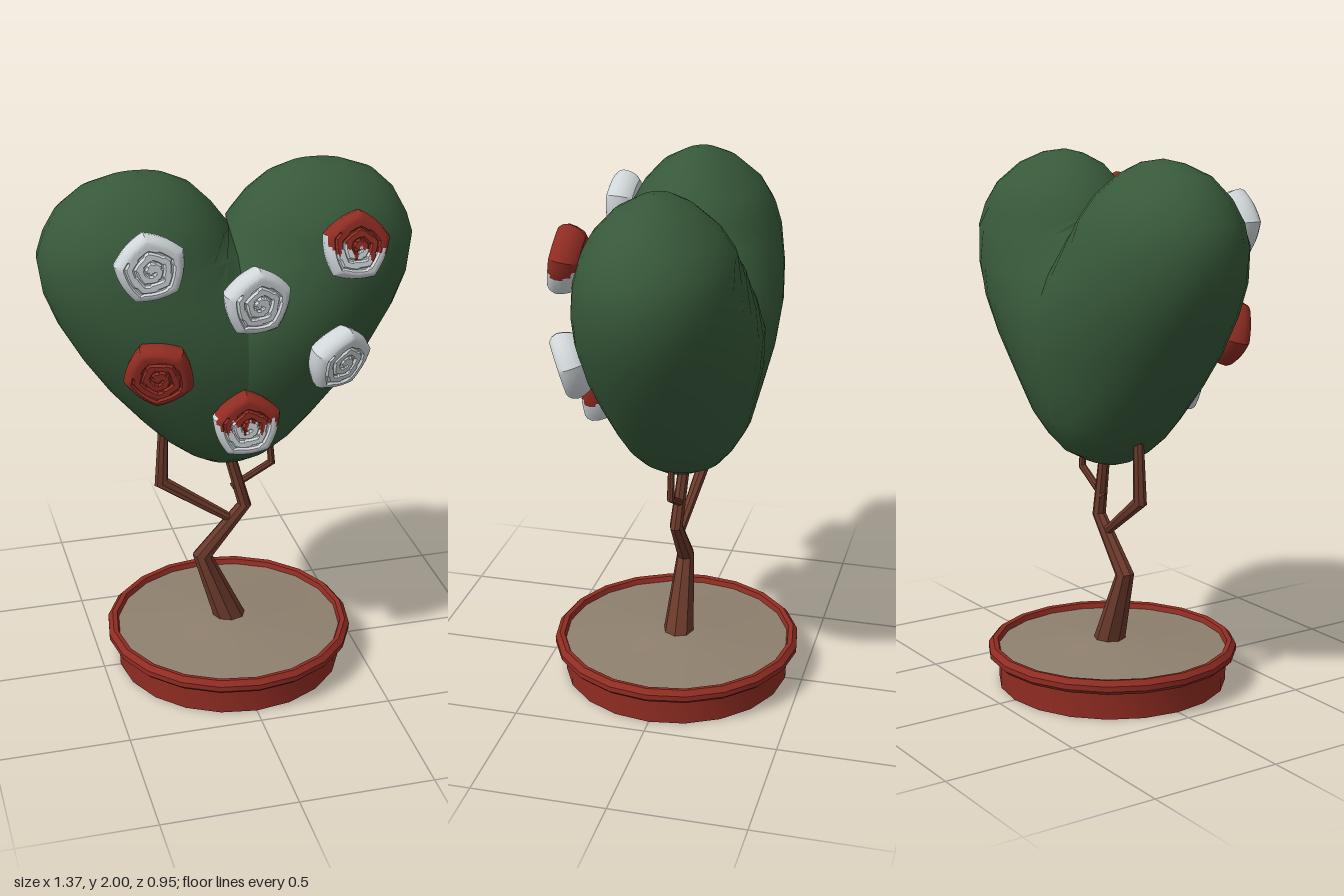
import * as THREE from 'three';
import { toCreasedNormals } from 'three/addons/utils/BufferGeometryUtils.js';

const material = (name, color) => {
  const m = new THREE.MeshStandardMaterial({ color });
  m.name = name;
  return m;
};

// Skin a list of equal-length point rows; isSecond(x, y) sends faces to a second material
function skin(rows, crease, isSecond = () => false) {
  const cols = rows[0].length;
  const first = [], second = [];
  for (let i = 0; i < rows.length - 1; i++) {
    for (let j = 0; j < cols - 1; j++) {
      const a = i * cols + j, b = a + 1, c = b + cols, d = a + cols;
      const p = rows[i][j], q = rows[i + 1][j + 1];
      const list = isSecond((p.x + q.x) / 2, (p.y + q.y) / 2) ? second : first;
      list.push(a, b, c, a, c, d);
    }
  }
  const g = new THREE.BufferGeometry().setFromPoints(rows.flat());
  g.setIndex([...first, ...second]);
  const out = toCreasedNormals(g, crease);
  out.clearGroups();
  if (second.length) {
    out.addGroup(0, first.length, 0);
    out.addGroup(first.length, second.length, 1);
  }
  return out;
}

// Half of the heart: elliptical slices cut off at the middle plane
// slice: height, inner x, outer x, front z, back z
const slices = [
  [2.0, 0.319, 0.321, 0.001, -0.001], [1.985, 0.22, 0.43, 0.06, -0.07],
  [1.945, 0.135, 0.535, 0.135, -0.145], [1.87, 0.06, 0.615, 0.205, -0.235],
  [1.79, 0, 0.66, 0.25, -0.285], [1.71, -0.06, 0.685, 0.275, -0.312],
  [1.58, -0.17, 0.667, 0.3, -0.338], [1.46, -0.28, 0.62, 0.31, -0.35],
  [1.32, -0.35, 0.54, 0.3, -0.338], [1.19, -0.36, 0.45, 0.265, -0.308],
  [1.05, -0.28, 0.33, 0.215, -0.272], [0.97, -0.2, 0.25, 0.175, -0.225],
  [0.91, -0.13, 0.17, 0.13, -0.175], [0.87, -0.08, 0.1, 0.07, -0.1],
  [0.853, -0.04, 0.045, 0.03, -0.05], [0.85, -0.001, 0.001, 0.001, -0.001],
];
function heartHalf(side) {
  const n = 24;
  const rows = slices.map(([y, x0, x1, zf, zb]) => {
    const cx = (x0 + x1) / 2, a = (x1 - x0) / 2;
    const zc = (zf + zb) / 2, b = (zf - zb) / 2;
    const limit = Math.acos(Math.max(-1, -cx / a));
    const row = [];
    for (let j = 0; j <= n; j++) {
      const t = limit * (2 * j / n - 1);
      row.push(new THREE.Vector3(side * (cx + a * Math.cos(t)), y, zc + b * Math.sin(t)));
    }
    return side > 0 ? row : row.reverse();
  });
  return skin(rows, 1.2);
}

// Tapered, kinked limb with mitred joints; path entries are x, y, z, radius
function limb(path) {
  const pts = path.map(([x, y, z]) => new THREE.Vector3(x, y, z));
  const rows = path.map(([, , , r], i) => {
    const before = pts[i].clone().sub(pts[Math.max(0, i - 1)]).normalize();
    const after = pts[Math.min(pts.length - 1, i + 1)].clone().sub(pts[i]).normalize();
    const t = before.clone().add(after).normalize();
    const across = new THREE.Vector3(t.y, -t.x, 0).normalize();
    const mitre = 1 / Math.max(0.6, t.dot(i ? before : after));
    const row = [];
    for (let j = 0; j <= 8; j++) {
      const a = j / 8 * Math.PI * 2;
      const p = pts[i].clone().addScaledVector(across, Math.cos(a) * r * mitre);
      p.z -= Math.sin(a) * r;
      row.push(p);
    }
    return row;
  });
  return skin(rows, 0.6);
}

// Five-sided blossom with a spiral groove for the petals
function blossom(turn, isSecond) {
  const rings = [[0.0005, -0.05], [0.09, -0.05], [0.108, -0.035], [0.118, -0.01],
    [0.122, 0.015], [0.115, 0.035], [0.104, 0.046]];
  for (let k = 0; k <= 16; k++) rings.push([0.095 * (1 - k / 16) + 0.0005, 0.05]);
  const n = 60, fifth = Math.PI * 2 / 5;
  const rows = rings.map(([r, z], i) => {
    const row = [];
    for (let j = 0; j <= n; j++) {
      const a = j / n * Math.PI * 2;
      const local = (a % fifth) - fifth / 2;
      const pent = Math.cos(fifth / 2) / Math.cos(local);
      const rr = r * (0.45 + 0.55 * pent) * 1.05;
      const phase = (r / 0.034 + a / (Math.PI * 2) + 10) % 1;
      const groove = i > 7 && r > 0.012 && phase < 0.24 ? 0.009 : 0;
      row.push(new THREE.Vector3(rr * Math.cos(a + turn), rr * Math.sin(a + turn), z - groove));
    }
    return row;
  });
  return skin(rows, 0.6, isSecond);
}

// Dripping edge of the paint
const drips = (level, slope) => (x, y) =>
  y > level + slope * x + 0.022 * Math.sin(x * 95) + 0.014 * Math.sin(x * 210 + 1);

export function createModel() {
  const green = material('leaf green', 0x37593a);
  const red = material('brick red', 0x8f2c22);
  const white = material('petal white', 0xd0d6d9);
  const brown = material('bark brown', 0x6b3a2b);
  const sand = material('soil', 0x8f806e);

  const model = new THREE.Group();
  model.name = 'heartTopiary';
  const add = (name, geometry, mat, parent = model) => {
    const mesh = new THREE.Mesh(geometry, mat);
    mesh.name = name;
    parent.add(mesh);
    return mesh;
  };
  const lathe = (pts) => toCreasedNormals(
    new THREE.LatheGeometry(pts.map(([x, y]) => new THREE.Vector2(x, y)), 20), 0.5);

  // Pot and soil
  add('pot', lathe([[0, 0], [0.435, 0], [0.435, 0.105], [0.46, 0.105], [0.475, 0.12],
    [0.475, 0.14], [0.458, 0.158], [0.44, 0.155], [0.43, 0.125]]), red);
  add('soil', lathe([[0.436, 0.135], [0.13, 0.155], [0, 0.17]]), sand);

  // Trunk and branches
  add('trunk', limb([[0.015, 0.13, -0.008, 0.062], [-0.1, 0.44, -0.01, 0.034],
    [0.068, 0.64, -0.014, 0.025], [0.01, 0.86, -0.03, 0.022], [0, 0.97, -0.03, 0.02]]), brown);
  add('leftBranch', limb([[0.02, 0.715, -0.025, 0.014], [0.175, 0.805, -0.02, 0.014],
    [0.157, 1.02, -0.02, 0.011]]), brown);
  add('rightBranch', limb([[0.02, 0.58, -0.012, 0.018], [-0.25, 0.76, -0.045, 0.025],
    [-0.235, 1.06, -0.045, 0.018]]), brown);

  // Heart-shaped foliage
  const foliage = new THREE.Group();
  foliage.name = 'foliage';
  model.add(foliage);
  add('leftLobe', heartHalf(1), green, foliage);
  add('rightLobe', heartHalf(-1), green, foliage);

  // Blossoms: x, y, z, tilt x, tilt y, spin, colour, paint edge
  const blossoms = [
    [-0.345, 1.76, 0.285, 0, -0.03, 0.5, white],
    [0.025, 1.6, 0.285, 0.05, 0.15, 0.3, white],
    [0.32, 1.365, 0.305, 0.3, 0.38, 0.1, white],
    [-0.32, 1.37, 0.29, 0.2, -0.25, 0.9, red],
    [0.375, 1.77, 0.288, -0.18, 0.08, 0.2, [white, red], drips(-0.015, -0.25)],
    [-0.01, 1.14, 0.292, 0, -0.03, 0.35, [white, red], drips(0.005, 0)],
  ];
  const flowers = new THREE.Group();
  flowers.name = 'blossoms';
  model.add(flowers);
  blossoms.forEach(([x, y, z, rx, ry, spin, mat, edge], i) => {
    const mesh = add('blossom' + (i + 1), blossom(spin, edge), mat, flowers);
    mesh.position.set(x, y, z);
    mesh.rotation.set(rx, ry, 0);
  });

  return model;
}
